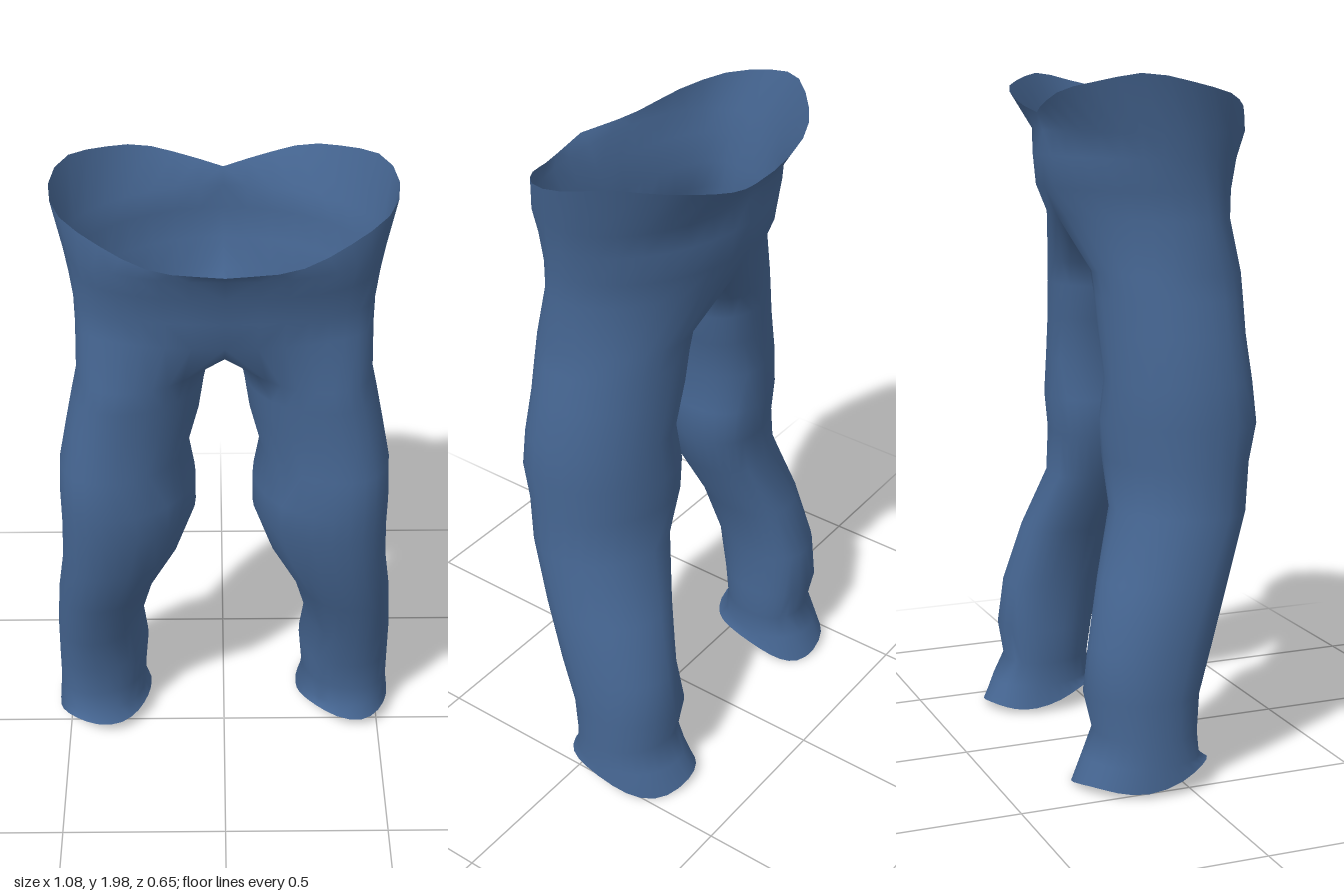
import * as THREE from 'three';
import { mergeVertices } from 'three/addons/utils/BufferGeometryUtils.js';

const OUTER = 18; // columns around the outside of each half
const INNER = 10; // columns along the inseam
const SPLIT = THREE.MathUtils.degToRad(125);

// leg sections: y, inner x, outer x, front z, back z, twist (outer side pushed forward)
const LEG = [
  [0.05, 0.24, 0.54, 0.06, -0.32, 0.15],
  [0.10, 0.255, 0.535, 0.035, -0.285, 0.15],
  [0.17, 0.255, 0.53, 0.03, -0.25, 0.15],
  [0.28, 0.245, 0.53, 0.045, -0.27, 0.15],
  [0.42, 0.26, 0.525, 0.09, -0.25, 0.2],
  [0.60, 0.215, 0.51, 0.15, -0.20, 0.25],
  [0.78, 0.135, 0.485, 0.215, -0.135, 0.25],
  [0.92, 0.085, 0.48, 0.23, -0.14, 0.25],
  [1.03, 0.085, 0.48, 0.255, -0.15, 0.25],
  [1.15, 0.105, 0.475, 0.24, -0.14, 0.25],
  [1.28, 0.07, 0.45, 0.23, -0.145, 0.25],
  [1.38, 0.055, 0.43, 0.23, -0.15, 0.25],
  [1.45, 0.04, 0.415, 0.23, -0.155, 0.25],
];

// hip sections: y, half width, front z, back z, z of the widest point
const HIPS = [
  [1.60, 0.41, 0.24, -0.205, 0.09],
  [1.68, 0.412, 0.246, -0.24, 0.08],
  [1.77, 0.425, 0.272, -0.247, 0.06],
  [1.84, 0.437, 0.30, -0.245, 0.05],
];

// waist edge from the middle of the front, round the side, to the middle of the back
const WAIST = new THREE.CatmullRomCurve3([
  [0, 1.87, 0.33], [0.19, 1.87, 0.29], [0.34, 1.915, 0.22], [0.44, 1.95, 0.13],
  [0.468, 1.97, 0.04], [0.46, 1.99, -0.04], [0.425, 2, -0.11], [0.34, 1.98, -0.2],
  [0.23, 1.955, -0.268], [0.1, 1.915, -0.28], [0, 1.89, -0.262],
].map((p) => new THREE.Vector3(...p)));

const power = (v, e) => Math.sign(v) * Math.abs(v) ** (2 / e);
const lerp = THREE.MathUtils.lerp;

function legPoint([y, xi, xo, zf, zb, twist], angle, side, hem) {
  const dx = ((xo - xi) / 2) * power(Math.cos(angle), 2.15);
  // the twist adds depth, so the section is narrowed to keep its front and back
  const reach = Math.sqrt(((zf - zb) / 2) ** 2 - (twist * (xo - xi) / 2) ** 2);
  let z = (zf + zb) / 2 + reach * power(Math.sin(angle), 2.15) + twist * dx;
  if (side < 0) z += 0.025 * Math.max(0, 1 - y / 0.5);
  if (hem) y += 0.025 * Math.sin(angle) + 0.014 * Math.sin(3 * angle + side);
  return [(xi + xo) / 2 + dx, y, z];
}

function hipPoint([y, w, zf, zb, zc], angle) {
  const s = Math.sin(angle), e = s > 0 ? 2.3 : 1.9;
  const x = w * power(Math.max(0, Math.cos(angle)), e);
  return [x, y, zc + (s > 0 ? zf - zc : zc - zb) * power(s, e)];
}

// rows of points, hem to waist, for the outside and the inseam of one half
function halfRows(side) {
  const outer = [], inner = [];
  const row = (n, f) => Array.from({ length: n + 1 }, (_, j) => f(j / n));
  LEG.forEach((section, i) => {
    outer.push(row(OUTER, (t) => legPoint(section, lerp(SPLIT, -SPLIT, t), side, i === 0)));
    inner.push(row(INNER, (t) => legPoint(section, lerp(SPLIT, 2 * Math.PI - SPLIT, t), side, i === 0)));
  });
  HIPS.forEach((section) => {
    outer.push(row(OUTER, (t) => hipPoint(section, lerp(Math.PI / 2, -Math.PI / 2, t))));
  });
  outer.push(row(OUTER, (t) => WAIST.getPointAt(t).toArray()));

  // crotch seam hangs between the middle of the front and of the back
  const hip = outer[LEG.length];
  inner.push(row(INNER, (t) => [
    0,
    1.6 - 0.12 * Math.max(0, Math.sin(Math.PI * t)) ** 0.6,
    lerp(hip[0][2], hip[OUTER][2], t),
  ]));
  return { outer, inner };
}

function addStrip(positions, rows, side, flip) {
  const put = (...points) => points.forEach(([x, y, z]) => positions.push(x * side, y, z));
  for (let i = 0; i < rows.length - 1; i++) {
    for (let j = 0; j < rows[i].length - 1; j++) {
      const a = rows[i][j], b = rows[i][j + 1], c = rows[i + 1][j + 1], d = rows[i + 1][j];
      if (flip) put(a, c, b, a, d, c);
      else put(a, b, c, a, c, d);
    }
  }
}

export function createModel() {
  const denim = new THREE.MeshStandardMaterial({ color: 0x456591, side: THREE.DoubleSide });
  denim.name = 'denim blue';

  // both halves share one skin so the cloth shades smoothly across the middle
  const positions = [];
  for (const side of [1, -1]) {
    const { outer, inner } = halfRows(side);
    addStrip(positions, outer, side, side < 0);
    addStrip(positions, inner, side, side > 0);
  }
  let geometry = new THREE.BufferGeometry();
  geometry.setAttribute('position', new THREE.Float32BufferAttribute(positions, 3));
  geometry = mergeVertices(geometry, 1e-4);
  geometry.computeVertexNormals();

  const trousers = new THREE.Mesh(geometry, denim);
  trousers.name = 'trousers';
  const model = new THREE.Group();
  model.name = 'pairOfTrousers';
  model.add(trousers);
  return model;
}
